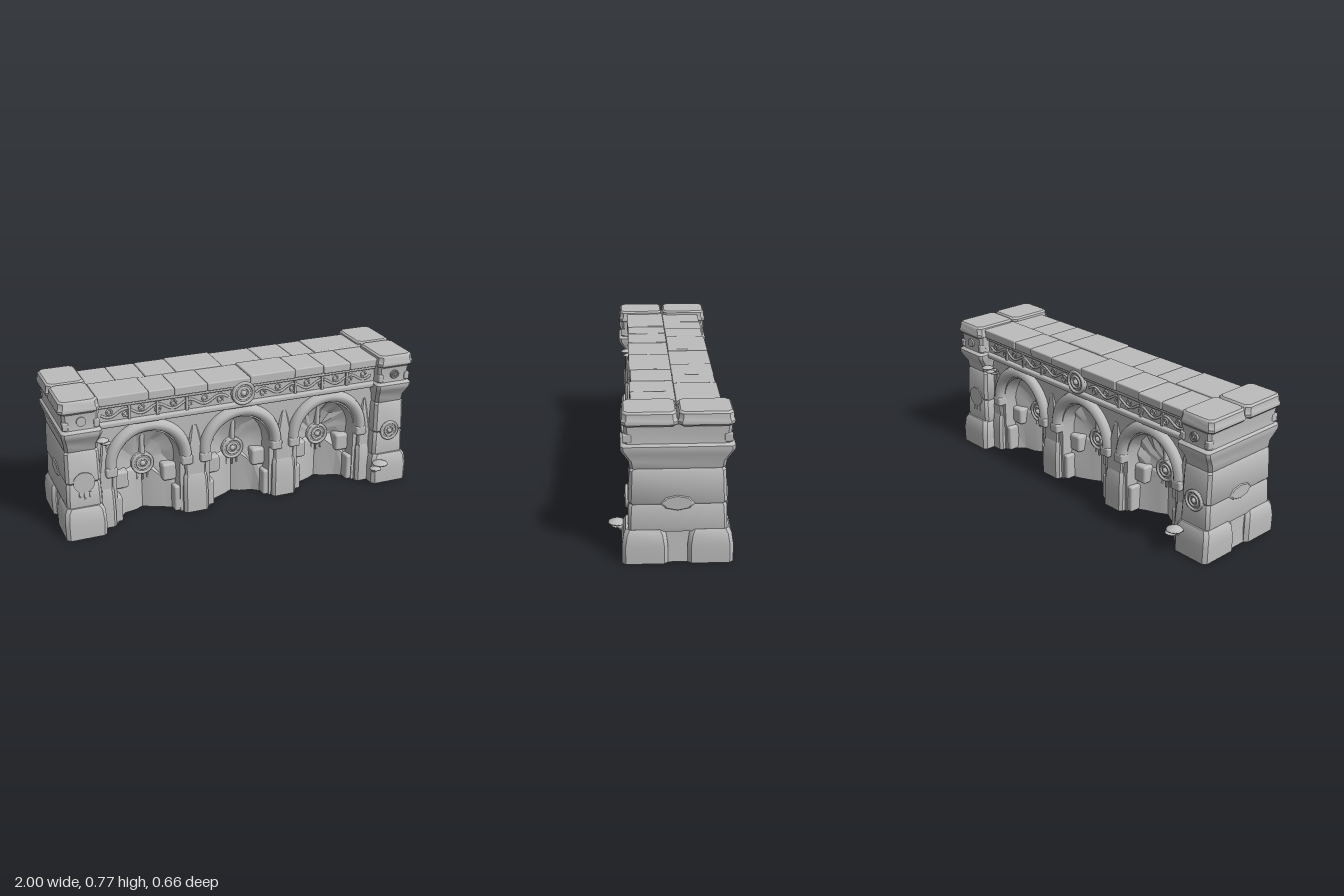
import * as THREE from 'three';
import { toCreasedNormals } from 'three/addons/utils/BufferGeometryUtils.js';
import { RoundedBoxGeometry } from 'three/addons/geometries/RoundedBoxGeometry.js';

const stone = new THREE.MeshStandardMaterial({ color: 0xbcbcbc });
stone.name = 'grey stone';

let seed = 7;
const rand = () => (seed = (seed * 16807) % 2147483647) / 2147483647;
const jitter = (a) => (rand() - 0.5) * 2 * a;

function add(parent, name, geometry, x = 0, y = 0, z = 0) {
  const mesh = new THREE.Mesh(geometry, stone);
  mesh.name = name;
  mesh.position.set(x, y, z);
  parent.add(mesh);
  return mesh;
}

function box(parent, name, x0, x1, y0, y1, z0, z1, r = 0.01) {
  return add(parent, name, new RoundedBoxGeometry(x1 - x0, y1 - y0, z1 - z0, 2, r),
    (x0 + x1) / 2, (y0 + y1) / 2, (z0 + z1) / 2);
}

// Geometry from vertex list and index list, with sharp edges kept
function surface(points, index, crease) {
  const g = new THREE.BufferGeometry();
  g.setAttribute('position', new THREE.Float32BufferAttribute(points, 3));
  g.setIndex(index);
  return toCreasedNormals(g, crease);
}

// Stacked chamfered rectangles: each ring is [y, halfX, halfZ]
function loft(rings, c = 0.015) {
  const p = [], idx = [], n = 8;
  for (const [y, a, b] of rings) {
    for (const [x, z] of [[a, b - c], [a, c - b], [a - c, -b], [c - a, -b],
      [-a, c - b], [-a, b - c], [c - a, b], [a - c, b]]) p.push(x, y, z);
  }
  for (let r = 0; r < rings.length - 1; r++) {
    for (let i = 0; i < n; i++) {
      const a = r * n + i, b = r * n + (i + 1) % n;
      idx.push(a, b, a + n, b, b + n, a + n);
    }
  }
  const top = (rings.length - 1) * n;
  for (let i = 1; i < n - 1; i++) idx.push(0, i + 1, i, top, top + i, top + i + 1);
  return surface(p, idx, 0.6);
}

// Ringed boss with short drips below
function medallion(parent, name, x, y, z, r, drips = true) {
  const g = new THREE.Group();
  g.name = name;
  g.position.set(x, y, z);
  const disc = add(g, 'disc', new THREE.CylinderGeometry(r * 0.95, r, 0.02, 24));
  disc.rotation.x = Math.PI / 2;
  add(g, 'outerRing', new THREE.TorusGeometry(r * 0.86, r * 0.14, 8, 28), 0, 0, 0.01);
  add(g, 'innerRing', new THREE.TorusGeometry(r * 0.48, r * 0.11, 8, 20), 0, 0, 0.011);
  add(g, 'stud', new THREE.SphereGeometry(r * 0.26, 12, 8), 0, 0, 0.008);
  if (drips) [-0.5, 0, 0.45].forEach((k, i) =>
    add(g, 'drip', new THREE.CapsuleGeometry(0.005, 0.03 + 0.02 * (i % 2), 3, 6), k * r, -r * 1.2, -0.003));
  parent.add(g);
}

// Hollow behind an arch: arch contour shrinking towards the back
function niche() {
  const base = [[-0.177, 0], [-0.177, 0], [-0.177, 0.12], [-0.177, 0.24]];
  for (let i = 0; i <= 12; i++) {
    const a = Math.PI * (1 - i / 12);
    base.push([0.177 * Math.cos(a), 0.33 + 0.177 * Math.sin(a)]);
  }
  base.push([0.177, 0.24], [0.177, 0.12], [0.177, 0], [0.177, 0]);
  const n = base.length, p = [], idx = [];
  [[0.165, 1], [0.09, 0.93], [0.055, 0.62], [0.032, 0.25], [0.03, 0]].forEach(([z, s], r) => {
    base.forEach(([x, y], i) => {
      const wobble = r === 1 || r === 2 ? jitter(0.012) : 0;
      const low = r > 0 && r < 4 && y < 0.2 ? 0.025 : 0;
      p.push(x * s, y === 0 ? 0 : 0.27 + (y - 0.27) * s, i === 0 || i === n - 1 ? 0 : z + wobble + low);
    });
    if (r === 0) return;
    for (let i = 0; i < n - 1; i++) {
      const a = (r - 1) * n + i, c = a + n;
      idx.push(a, c, a + 1, a + 1, c, c + 1);
    }
  });
  return surface(p, idx, 0.35);
}

function mushroom(parent, x, y, z, r) {
  const profile = [[0.001, -0.2], [0.5, -0.22], [1, -0.08], [0.95, 0.03], [0.5, 0.25], [0.001, 0.33]];
  add(parent, 'mushroomCap', new THREE.LatheGeometry(profile.map(([a, b]) => new THREE.Vector2(a * r, b * r)), 16), x, y, z);
  const stem = new THREE.CatmullRomCurve3([[0, 0, 0], [0, -r * 0.6, -0.01], [0, -r * 0.9, -0.07]]
    .map((v) => new THREE.Vector3(x + v[0], y + v[1], z + v[2])));
  add(parent, 'mushroomStem', new THREE.TubeGeometry(stem, 8, r * 0.25, 7));
}

// Corner pillar, outer side towards +x
function pillar() {
  const g = new THREE.Group();
  g.name = 'pillar';
  for (const s of [1, -1]) {
    add(g, 'baseBlock', loft([[0, 0.108, 0.11], [0.09, 0.11, 0.11], [0.15, 0.104, 0.101], [0.172, 0.09, 0.09]], 0.018), 0.888, 0, s * 0.156);
    add(g, 'capBlock', loft([[0.697, 0.095, 0.122], [0.708, 0.106, 0.131], [0.722, 0.107, 0.132], [0.732, 0.102, 0.127],
      [0.758, 0.1, 0.125], [0.767, 0.09, 0.118]], 0.02), 0.892, 0, s * 0.131);
    medallion(g, 'pillarMedallion', 0.885, 0.31, s * 0.23, 0.057);
    medallion(g, 'neckStud', 0.885, 0.655, s * 0.248, 0.025, false);
    for (const x of [0.805, 0.965]) box(g, 'neckCorner', x - 0.015, x + 0.015, 0.615, 0.657, s * 0.235 - 0.02, s * 0.235 + 0.02, 0.006);
  }
  add(g, 'baseCore', loft([[0, 0.1, 0.1], [0.165, 0.09, 0.1]]), 0.878);
  add(g, 'lowerCourse', loft([[0.16, 0.09, 0.235], [0.18, 0.094, 0.236], [0.29, 0.09, 0.233], [0.308, 0.082, 0.222]]), 0.885);
  add(g, 'upperCourse', loft([[0.296, 0.082, 0.222], [0.312, 0.092, 0.234], [0.47, 0.089, 0.227], [0.485, 0.08, 0.217]]), 0.885);
  add(g, 'collar', loft([[0.476, 0.08, 0.217], [0.488, 0.086, 0.225], [0.52, 0.088, 0.23], [0.56, 0.1, 0.256],
    [0.58, 0.105, 0.267], [0.598, 0.105, 0.267], [0.61, 0.094, 0.252]]), 0.885);
  add(g, 'neck', loft([[0.6, 0.095, 0.25], [0.64, 0.091, 0.246], [0.705, 0.096, 0.252]]), 0.885);
  const boss = add(g, 'sideBoss', new THREE.CylinderGeometry(0.07, 0.088, 0.012, 8), 0.976, 0.31, 0);
  boss.rotation.z = -Math.PI / 2;
  boss.scale.x = 0.5;
  return g;
}

// One long face of the wall, facing +z
function arcade() {
  const g = new THREE.Group();
  g.name = 'arcadeFace';
  const centres = [-0.52, 0, 0.52];
  const shape = new THREE.Shape();
  shape.moveTo(-0.82, 0);
  for (const c of centres) {
    shape.lineTo(c - 0.175, 0);
    shape.lineTo(c - 0.175, 0.33);
    shape.absarc(c, 0.33, 0.175, Math.PI, 0, true);
    shape.lineTo(c + 0.175, 0);
  }
  shape.lineTo(0.82, 0);
  shape.lineTo(0.82, 0.6);
  shape.lineTo(-0.82, 0.6);
  add(g, 'archedWall', new THREE.ExtrudeGeometry(shape, { depth: 0.165, bevelEnabled: false, curveSegments: 24 }));

  for (const c of centres) {
    add(g, 'niche', niche(), c);
    const arch = add(g, 'archMoulding', new THREE.TorusGeometry(0.207, 0.032, 10, 32, Math.PI), c, 0.34, 0.17);
    arch.scale.z = 1.2;
    for (const s of [-1, 1]) {
      box(g, 'archFoot', c + s * 0.207 - 0.032, c + s * 0.207 + 0.032, 0.29, 0.345, 0.1, 0.207, 0.012);
      box(g, 'nicheBlock', c + s * 0.135 - 0.04, c + s * 0.135 + 0.04, 0.17, 0.27, 0.03, 0.115, 0.015);
      box(g, 'jambStone', c + s * 0.165 - 0.02, c + s * 0.165 + 0.02, 0, 0.15, 0.05, 0.16, 0.012);
    }
    box(g, 'nicheRib', c - 0.012, c + 0.012, 0.33, 0.5, 0.025, 0.07, 0.008);
    medallion(g, 'nicheMedallion', c, 0.275, 0.05, 0.063);
  }

  // Piers between and beside the arches
  for (const x of [-0.755, -0.26, 0.26, 0.755]) {
    const w = Math.abs(x) > 0.5 ? 0.045 : 0.07;
    add(g, 'pierBase', loft([[0, w, 0.07], [0.1, w, 0.07], [0.2, w * 0.95, 0.062], [0.235, w * 0.8, 0.05]]), x, 0, 0.127);
    add(g, 'pierShaft', loft([[0.2, w * 0.8, 0.055], [0.3, w * 0.85, 0.055], [0.42, w * 0.45, 0.05], [0.5, w * 0.25, 0.04]], 0.008), x, 0, 0.127);
  }

  // Carved frieze
  box(g, 'friezePanel', -0.82, 0.82, 0.585, 0.71, 0, 0.19, 0.006);
  box(g, 'lowerMoulding', -0.81, 0.81, 0.575, 0.607, 0.1, 0.212, 0.012);
  box(g, 'upperMoulding', -0.81, 0.81, 0.682, 0.706, 0.1, 0.207, 0.01);
  for (const s of [-1, 1]) {
    const wave = [];
    for (let i = 0; i <= 32; i++) wave.push(new THREE.Vector3(s * (0.08 + 0.69 * i / 32), 0.645 + 0.018 * Math.sin(i * Math.PI / 4), 0.192));
    add(g, 'vineCarving', new THREE.TubeGeometry(new THREE.CatmullRomCurve3(wave), 96, 0.007, 6));
    for (let i = 0; i < 8; i++) {
      const x = s * (0.123 + 0.086 * i), y = 0.645 - (i % 2 ? -1 : 1) * 0.01;
      add(g, 'scrollCarving', new THREE.TorusGeometry(0.014, 0.005, 6, 14), x, y, 0.192);
    }
    for (const x of [0.31, 0.47, 0.62]) box(g, 'friezeBar', s * x - 0.008, s * x + 0.008, 0.6, 0.69, 0.17, 0.202, 0.004);
  }
  medallion(g, 'friezeMedallion', 0, 0.66, 0.206, 0.066, false);

  // Uneven top slabs
  const joints = [-0.81, -0.52, -0.38, -0.2, 0.04, 0.3, 0.47, 0.63, 0.81];
  for (let i = 0; i < joints.length - 1; i++) {
    box(g, 'topSlab', joints[i], joints[i + 1], 0.7, 0.75 + jitter(0.006), 0, 0.215 + jitter(0.004), 0.007);
  }

  // Mushrooms
  mushroom(g, 0.81, 0.138, 0.287, 0.045);
  mushroom(g, 0.785, 0.108, 0.285, 0.033);
  mushroom(g, -0.775, 0.522, 0.222, 0.034);
  mushroom(g, -0.755, 0.502, 0.218, 0.026);
  return g;
}

export function createModel() {
  const model = new THREE.Group();
  model.name = 'arcadedStoneWall';
  box(model, 'wallCore', -0.82, 0.82, 0, 0.7, -0.027, 0.027, 0.004);
  const half = new THREE.Group();
  half.name = 'frontHalf';
  half.add(arcade(), pillar());
  const backHalf = half.clone();
  backHalf.name = 'backHalf';
  backHalf.rotation.y = Math.PI;
  model.add(half, backHalf);
  return model;
}
